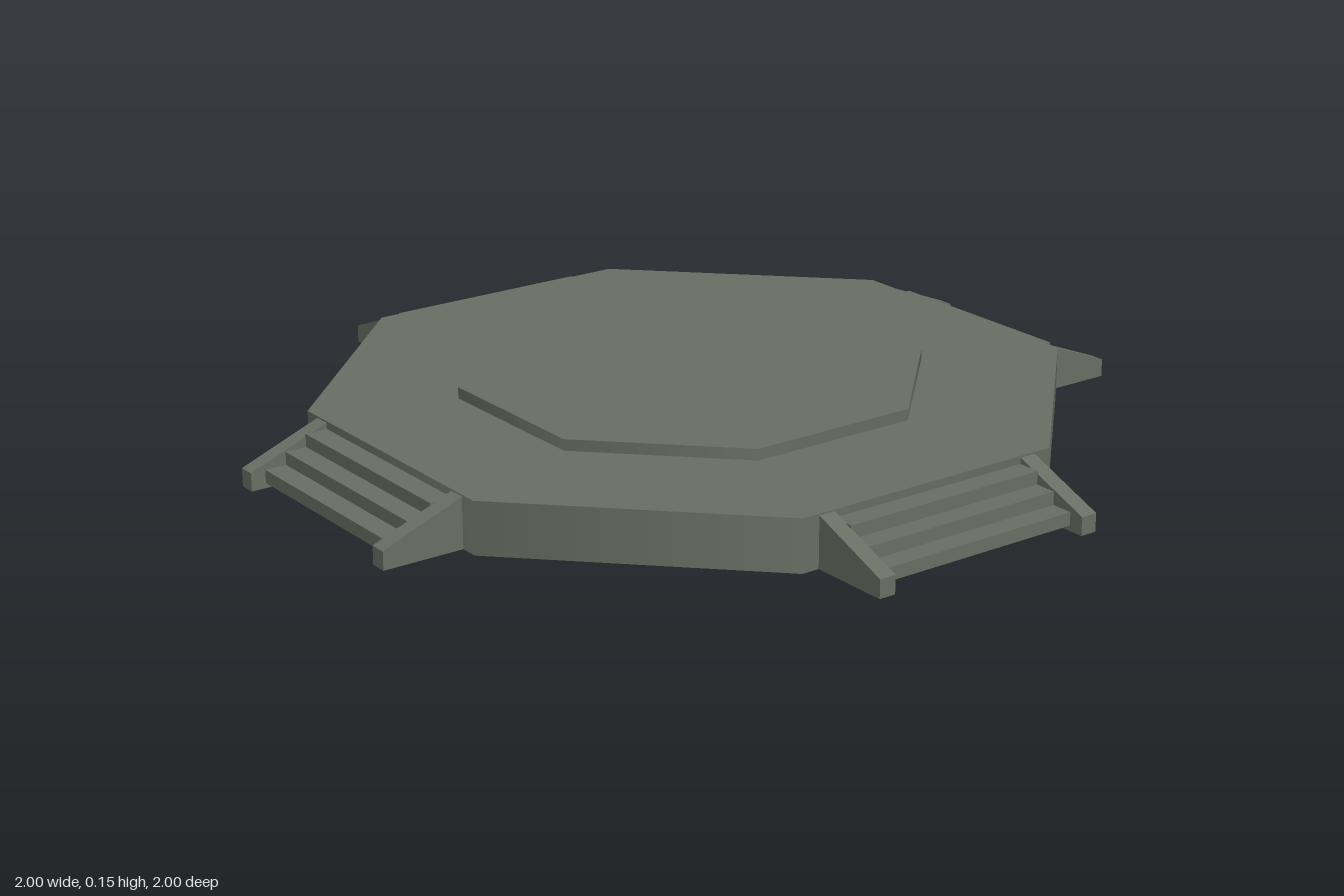
import * as THREE from 'three';

const stone = new THREE.MeshStandardMaterial({ color: 0x696d62, side: THREE.DoubleSide });
stone.name = 'grey green stone';

const DECK = 0.81, DECK_TOP = 0.12;      // apothem and height of the deck
const DAIS = 0.5, DAIS_TOP = 0.146;      // apothem and height of the raised centre
const circum = (apothem) => apothem / Math.cos(Math.PI / 8);

function add(parent, name, geometry, x = 0, y = 0, z = 0) {
  const mesh = new THREE.Mesh(geometry, stone);
  mesh.name = name;
  mesh.position.set(x, y, z);
  parent.add(mesh);
  return mesh;
}

// corners of an octagon with flat sides facing the axes
function octagon(apothem) {
  const r = circum(apothem);
  return Array.from({ length: 8 }, (_, i) => {
    const a = Math.PI / 8 + i * Math.PI / 4;
    return new THREE.Vector2(r * Math.cos(a), r * Math.sin(a));
  });
}

// open ring of eight walls
function wall(apothem, height) {
  const r = circum(apothem);
  return new THREE.CylinderGeometry(r, r, height, 8, 1, true, Math.PI / 8);
}

// flat octagonal plate, optionally with an octagonal opening
function plate(apothem, opening) {
  const shape = new THREE.Shape(octagon(apothem));
  if (opening) shape.holes.push(new THREE.Path(octagon(opening)));
  return new THREE.ShapeGeometry(shape).rotateX(-Math.PI / 2);
}

// one stair leading out along +z
function makeStair() {
  const stair = new THREE.Group();

  // sloping side cheeks
  const profile = new THREE.Shape([
    new THREE.Vector2(DECK - 0.005, 0), new THREE.Vector2(1, 0),
    new THREE.Vector2(1, 0.042), new THREE.Vector2(DECK - 0.005, DECK_TOP - 0.002),
  ]);
  const cheek = new THREE.ExtrudeGeometry(profile, { depth: 0.04, bevelEnabled: false });
  cheek.rotateY(-Math.PI / 2).translate(0.02, 0, 0);
  for (const side of [-1, 1]) add(stair, 'stairCheek', cheek, side * 0.273, 0, 0);

  // three stepped slabs
  for (let i = 0; i < 3; i++) {
    add(stair, 'stairStep', new THREE.BoxGeometry(0.51, 0.03, 0.053),
      0, 0.087 - i * 0.03, 0.8365 + i * 0.051);
  }
  return stair;
}

export function createModel() {
  const model = new THREE.Group();
  model.name = 'octagonalPlatform';

  // hollow deck and raised centre, both open underneath
  add(model, 'deckWall', wall(DECK, DECK_TOP), 0, DECK_TOP / 2, 0);
  add(model, 'deckTop', plate(DECK, DAIS), 0, DECK_TOP, 0);
  add(model, 'daisWall', wall(DAIS, DAIS_TOP - DECK_TOP), 0, (DECK_TOP + DAIS_TOP) / 2, 0);
  add(model, 'daisTop', plate(DAIS), 0, DAIS_TOP, 0);

  // a stair on each of the four main sides
  ['frontStair', 'leftStair', 'backStair', 'rightStair'].forEach((name, i) => {
    const stair = makeStair();
    stair.name = name;
    stair.rotation.y = i * Math.PI / 2;
    model.add(stair);
  });
  return model;
}
